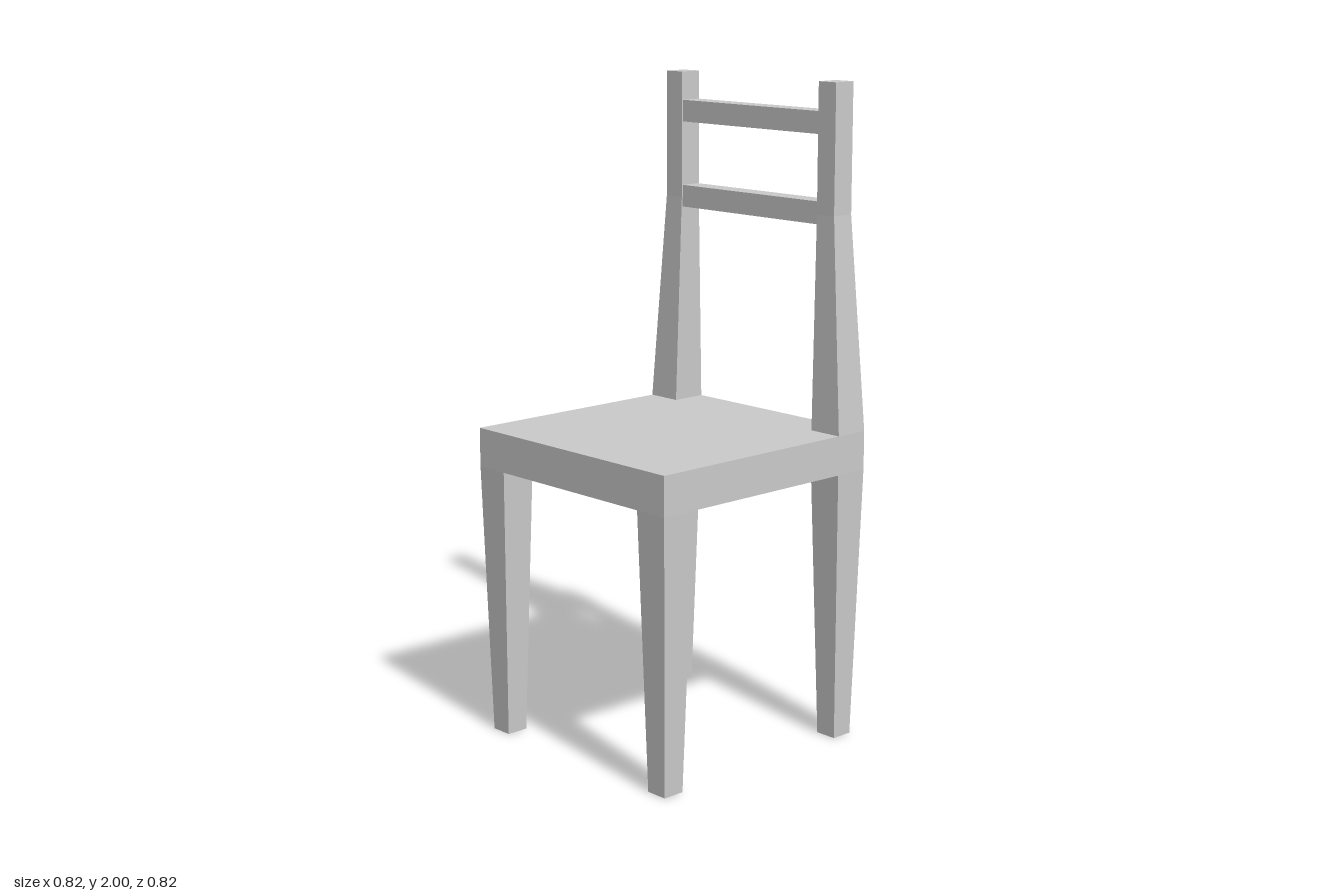
import * as THREE from 'three';

const material = new THREE.MeshStandardMaterial({ color: 0xcccccc, flatShading: true });

// Square section at height y: x0..x1 and z0..z1
const section = (y, x0, x1, z0, z1) => ({ y, x0, x1, z0, z1 });

// Straight-sided block between a lower and an upper section
function taperedBlock(name, low, high) {
  const geometry = new THREE.BoxGeometry(1, 1, 1);
  const p = geometry.attributes.position;
  for (let i = 0; i < p.count; i++) {
    const s = p.getY(i) > 0 ? high : low;
    p.setXYZ(i, p.getX(i) > 0 ? s.x1 : s.x0, s.y, p.getZ(i) > 0 ? s.z1 : s.z0);
  }
  geometry.computeVertexNormals();
  const mesh = new THREE.Mesh(geometry, material);
  mesh.name = name;
  return mesh;
}

// Same block shape placed in the corner given by the signs sx and sz
function cornerBlock(name, low, high, sx, sz) {
  const flip = (s) => section(
    s.y,
    sx > 0 ? s.x0 : -s.x1, sx > 0 ? s.x1 : -s.x0,
    sz > 0 ? s.z0 : -s.z1, sz > 0 ? s.z1 : -s.z0
  );
  return taperedBlock(name, flip(low), flip(high));
}

export function createModel() {
  const chair = new THREE.Group();
  chair.name = 'chair';
  const seatBottom = 0.84, seatTop = 0.96, half = 0.41;

  // Seat slab
  chair.add(taperedBlock('seat',
    section(seatBottom, -half, half, -half, half),
    section(seatTop, -half, half, -half, half)));

  // Four legs narrowing toward the floor
  const foot = section(0, 0.32, 0.39, 0.32, 0.39);
  const legTop = section(seatBottom, 0.298, half, 0.298, half);
  for (const sx of [-1, 1])
    for (const sz of [-1, 1])
      chair.add(cornerBlock(sx > 0 ? 'backLeg' : 'frontLeg', foot, legTop, sx, sz));

  // Back posts: tapered lower part, straight upper part
  const postBase = section(seatTop, 0.298, half, 0.298, half);
  const postBend = section(1.61, 0.316, 0.39, 0.291, 0.36);
  const postTop = section(2, 0.316, 0.39, 0.291, 0.36);
  for (const sz of [-1, 1]) {
    const post = new THREE.Group();
    post.name = 'backPost';
    post.add(cornerBlock('lowerPost', postBase, postBend, 1, sz));
    post.add(cornerBlock('upperPost', postBend, postTop, 1, sz));
    chair.add(post);
  }

  // Two rails between the posts
  for (const [name, y0, y1] of [['lowerRail', 1.58, 1.648], ['upperRail', 1.846, 1.913]])
    chair.add(taperedBlock(name,
      section(y0, 0.32, 0.387, -0.293, 0.293),
      section(y1, 0.32, 0.387, -0.293, 0.293)));

  return chair;
}
